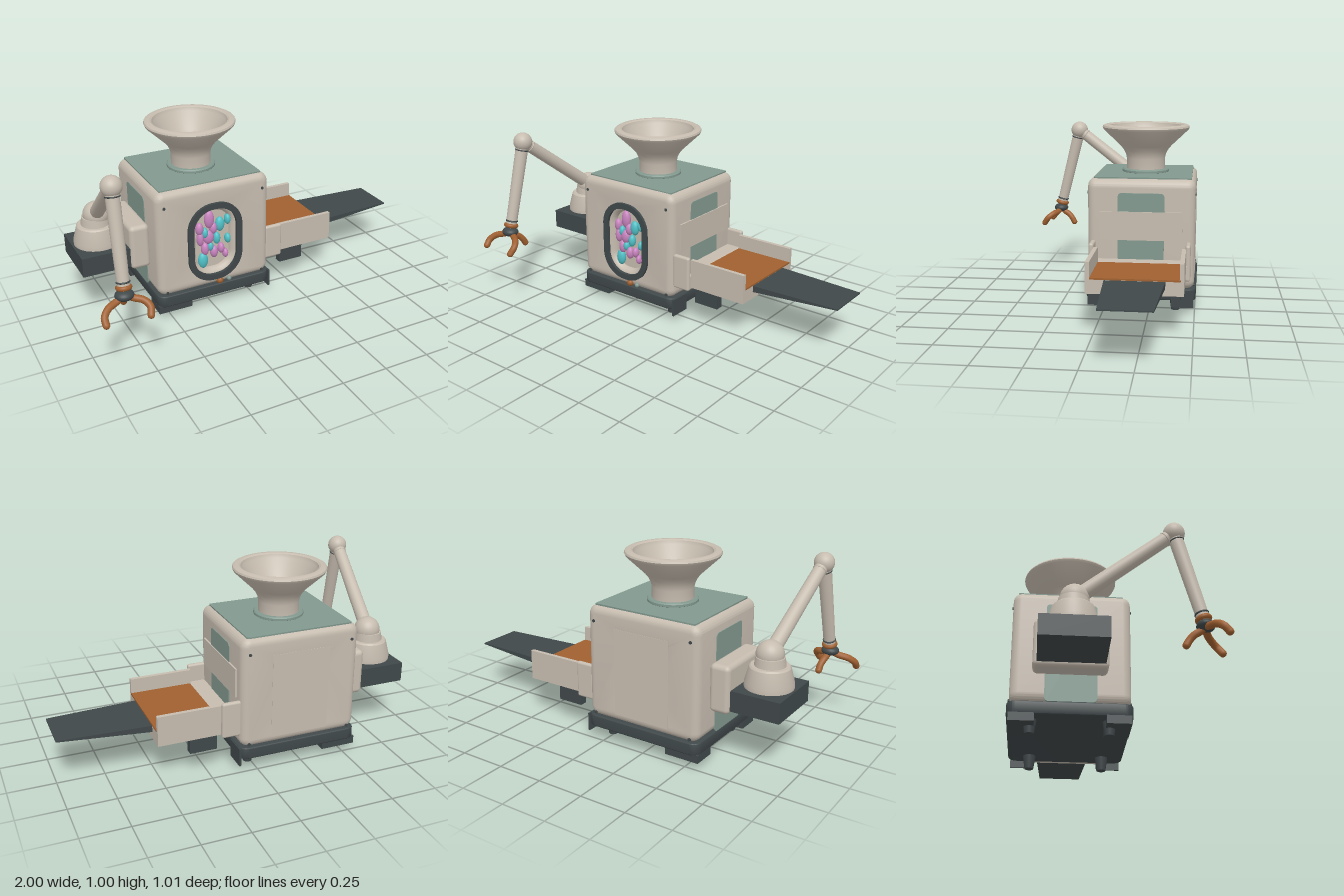
import * as THREE from 'three';
import { toCreasedNormals } from 'three/addons/utils/BufferGeometryUtils.js';
import { RoundedBoxGeometry } from 'three/addons/geometries/RoundedBoxGeometry.js';

const V = (x, y, z) => new THREE.Vector3(x, y, z);

function paint(name, color, side = THREE.FrontSide) {
  const m = new THREE.MeshStandardMaterial({ color, side });
  m.name = name;
  return m;
}

// Rounded rectangle outline, centred on (cx, cy)
function roundRect(cx, cy, w, h, r, Kind = THREE.Shape) {
  const s = new Kind(), x = w / 2 - r, y = h / 2 - r;
  s.absarc(cx + x, cy + y, r, 0, Math.PI / 2);
  s.absarc(cx - x, cy + y, r, Math.PI / 2, Math.PI);
  s.absarc(cx - x, cy - y, r, Math.PI, Math.PI * 1.5);
  s.absarc(cx + x, cy - y, r, Math.PI * 1.5, Math.PI * 2);
  return s;
}

function extrude(shape, depth, bevel = 0) {
  const g = new THREE.ExtrudeGeometry(shape, {
    depth: depth - 2 * bevel, curveSegments: 10, bevelEnabled: bevel > 0,
    bevelSize: bevel, bevelThickness: bevel, bevelOffset: -bevel, bevelSegments: 5,
  });
  g.translate(0, 0, bevel);
  return toCreasedNormals(g, 0.6);
}

const lathe = (pts, n = 40) =>
  toCreasedNormals(new THREE.LatheGeometry(pts.map(p => new THREE.Vector2(...p)), n), 0.5);

export function createModel() {
  const model = new THREE.Group();
  const beige = paint('beige casing', 0xc6bcaf);
  const teal = paint('muted teal', 0x82998f);
  const dark = paint('dark slate', 0x40484a);
  const orange = paint('burnt orange', 0xa06030);
  const pink = paint('pink', 0xc884be);
  const cyan = paint('cyan', 0x50c0c6);

  function add(name, geo, mat, pos = V(0, 0, 0)) {
    const m = new THREE.Mesh(geo, mat);
    m.name = name;
    m.position.copy(pos);
    model.add(m);
    return m;
  }
  // Box given by its limits, rounded when r > 0
  function box(name, mat, x0, x1, y0, y1, z0, z1, r = 0) {
    const s = [x1 - x0, y1 - y0, z1 - z0];
    return add(name, r ? new RoundedBoxGeometry(...s, 4, r) : new THREE.BoxGeometry(...s), mat,
      V((x0 + x1) / 2, (y0 + y1) / 2, (z0 + z1) / 2));
  }
  // Cylinder running from a to b
  function rod(name, mat, a, b, ra, rb, n = 24) {
    const d = b.clone().sub(a);
    const m = add(name, new THREE.CylinderGeometry(rb, ra, d.length(), n), mat, a.clone().lerp(b, 0.5));
    m.quaternion.setFromUnitVectors(V(0, 1, 0), d.normalize());
    return m;
  }

  // Casing with a recessed oval window
  const cx = -0.2375, cz = -0.205, wy = 0.3975;
  const casing = roundRect(cx, 0.43, 0.655, 0.6, 0.05);
  casing.holes.push(roundRect(cx, wy, 0.2, 0.34, 0.09, THREE.Path));
  add('casing', extrude(casing, 0.58, 0.04), beige, V(0, 0, -0.495));
  box('windowBacking', beige, cx - 0.15, cx + 0.15, 0.17, 0.62, 0.035, 0.045);
  box('backCover', beige, cx - 0.16, cx + 0.16, 0.17, 0.63, -0.4965, -0.49);
  const frame = roundRect(cx, wy, 0.315, 0.455, 0.145);
  frame.holes.push(roundRect(cx, wy, 0.25, 0.39, 0.115, THREE.Path));
  add('windowFrame', extrude(frame, 0.03), dark, V(0, 0, 0.07));

  // Beads behind the window: x, y, half width, half height
  const beads = [
    [pink, [[-0.257, 0.52, 0.028, 0.052], [-0.315, 0.475, 0.022, 0.036], [-0.312, 0.415, 0.02, 0.042],
      [-0.262, 0.415, 0.03, 0.04], [-0.285, 0.35, 0.022, 0.038], [-0.232, 0.322, 0.022, 0.035],
      [-0.165, 0.298, 0.016, 0.026], [-0.235, 0.465, 0.022, 0.034], [-0.19, 0.335, 0.018, 0.03]]],
    [cyan, [[-0.195, 0.48, 0.026, 0.042], [-0.15, 0.5, 0.017, 0.03], [-0.15, 0.385, 0.017, 0.028],
      [-0.298, 0.282, 0.028, 0.046], [-0.215, 0.4, 0.02, 0.035], [-0.255, 0.36, 0.018, 0.028],
      [-0.285, 0.445, 0.018, 0.03]]],
  ];
  for (const [mat, list] of beads) for (const [x, y, rx, ry] of list)
    add('bead', new THREE.SphereGeometry(1, 20, 14), mat, V(x, y, 0.058)).scale.set(rx, ry, 0.022);

  // Knobs and corner bolts
  add('knob', new THREE.SphereGeometry(0.02, 20, 14), orange, V(-0.212, 0.152, 0.085));
  add('smallKnob', new THREE.SphereGeometry(0.013, 16, 12), teal, V(-0.158, 0.152, 0.09));
  for (const x of [-0.52, 0.047]) for (const y of [0.15, 0.65]) for (const z of [0.085, -0.495])
    rod('bolt', dark, V(x, y, z - 0.004), V(x, y, z + 0.004), 0.008, 0.008, 12);

  // Teal top and side panels
  const topPlate = extrude(roundRect(0, 0, 0.585, 0.525, 0.01), 0.008);
  topPlate.rotateX(-Math.PI / 2);
  add('topPanel', topPlate, teal, V(cx, 0.727, -0.21));
  const sidePlate = extrude(roundRect(0.205, 0.395, 0.25, 0.52, 0.02), 0.008);
  sidePlate.rotateY(Math.PI / 2);
  for (const x of [0.086, -0.569]) add('sidePanel', sidePlate, teal, V(x, 0, 0));

  // Plinth, corner pads and feet
  const plinth = extrude(roundRect(0, 0, 0.665, 0.6, 0.045), 0.065, 0.008);
  plinth.rotateX(-Math.PI / 2);
  add('plinth', plinth, dark, V(cx, 0.07, cz));
  for (const [z0, z1, fz] of [[-0.035, 0.085, -0.016], [-0.495, -0.373, -0.394]]) {
    box('cornerPad', dark, -0.57, -0.38, 0.033, 0.075, z0, z1);
    box('cornerPad', dark, 0.09, 0.1, 0.033, 0.13, z0, z1);
    for (const x of [-0.487, 0.013]) rod('foot', dark, V(x, 0, fz), V(x, 0.075, fz), 0.023, 0.034);
  }

  // Hopper
  add('hopperCollar', lathe([[0, 0.73], [0.126, 0.73], [0.132, 0.736], [0.132, 0.747], [0.126, 0.753], [0, 0.753]]),
    teal, V(cx, 0, -0.206));
  add('hopper', lathe([[0.108, 0.75], [0.108, 0.81], [0.113, 0.832], [0.125, 0.857], [0.145, 0.882], [0.24, 0.972],
    [0.246, 0.985], [0.242, 0.994], [0.23, 1], [0.212, 1], [0.202, 0.994], [0.196, 0.975], [0.125, 0.89],
    [0.1, 0.85], [0.09, 0.81], [0.09, 0.77], [0, 0.77]], 48), beige, V(cx, 0, -0.206));

  // Outfeed hood and conveyor
  box('hood', beige, 0.08, 0.1, 0.4, 0.555, -0.43, 0.018);
  box('conveyorMount', beige, 0.08, 0.185, 0.2, 0.295, -0.475, 0.065, 0.015);
  for (const z of [0.04, -0.475]) box('mountPost', beige, 0.08, 0.185, 0.2, 0.395, z, z + 0.027, 0.012);
  box('conveyorTray', beige, 0.18, 0.52, 0.215, 0.293, -0.452, 0.038);
  box('conveyorBelt', orange, 0.184, 0.521, 0.288, 0.297, -0.435, 0.016);
  for (const z of [0.016, -0.452]) box('conveyorWall', beige, 0.18, 0.52, 0.29, 0.377, z, z + 0.022);
  for (const z of [-0.022, -0.43]) box('conveyorLeg', dark, 0.2, 0.345, 0.125, 0.216, z, z + 0.042);

  // Tapering exit ramp
  const ramp = new THREE.BoxGeometry(0.48, 1, 1), p = ramp.attributes.position;
  for (let i = 0; i < p.count; i++) {
    const tip = p.getX(i) > 0, top = p.getY(i) > 0;
    p.setY(i, tip ? (top ? 0.285 : 0.278) : (top ? 0.287 : 0.252));
    p.setZ(i, -0.208 + p.getZ(i) * (tip ? 0.252 : 0.304));
  }
  ramp.computeVertexNormals();
  add('exitRamp', ramp, dark, V(0.76, 0, 0));

  // Arm platform and turret
  box('armMount', beige, -0.67, -0.56, 0.27, 0.52, -0.39, -0.03, 0.025);
  box('armPlatform', dark, -0.93, -0.66, 0.29, 0.397, -0.37, -0.046);
  add('armTurret', lathe([[0.123, 0.395], [0.123, 0.42], [0.102, 0.5], [0.095, 0.507], [0.078, 0.507],
    [0.072, 0.55], [0, 0.55]]), beige, V(-0.795, 0, -0.21));
  const shoulder = V(-0.79, 0.56, -0.205), elbow = V(-0.842, 0.915, 0.265), wrist = V(-0.856, 0.43, 0.386);
  add('shoulder', new THREE.SphereGeometry(0.07, 28, 20), beige, shoulder);
  rod('upperArm', beige, shoulder, elbow, 0.038, 0.034);
  add('elbow', new THREE.SphereGeometry(0.053, 28, 20), beige, elbow);
  rod('forearm', beige, elbow, wrist, 0.036, 0.031);

  // Joint rings along the arm
  function ring(name, mat, a, b, t, r, tube) {
    const m = add(name, new THREE.TorusGeometry(r, tube, 12, 32), mat, a.clone().lerp(b, t));
    m.quaternion.setFromUnitVectors(V(0, 0, 1), b.clone().sub(a).normalize());
  }
  ring('elbowRing', dark, elbow, wrist, 0.095, 0.034, 0.004);
  ring('upperArmRing', beige, elbow, shoulder, 0.09, 0.033, 0.004);
  ring('wristRing', dark, elbow, wrist, 0.92, 0.03, 0.005);
  ring('wristCuff', orange, elbow, wrist, 0.975, 0.028, 0.013);
  const palm = V(-0.858, 0.405, 0.391);
  add('palm', new THREE.SphereGeometry(1, 24, 16), dark, palm).scale.set(0.048, 0.027, 0.044);

  // Three curved gripper fingers
  const fingers = [
    [[-0.9, 0.385, 0.4], [-0.95, 0.37, 0.42], [-0.978, 0.345, 0.445], [-0.98, 0.315, 0.47]],
    [[-0.815, 0.385, 0.405], [-0.775, 0.375, 0.43], [-0.755, 0.352, 0.46], [-0.763, 0.318, 0.485]],
    [[-0.85, 0.38, 0.365], [-0.845, 0.365, 0.34], [-0.838, 0.342, 0.318], [-0.836, 0.314, 0.302]],
  ];
  for (const f of fingers) {
    const pts = [palm, ...f.map(q => V(...q))];
    add('finger', new THREE.TubeGeometry(new THREE.CatmullRomCurve3(pts), 20, 0.018, 12), orange);
    add('fingertip', new THREE.SphereGeometry(0.018, 14, 10), orange, pts[4]);
  }
  return model;
}
